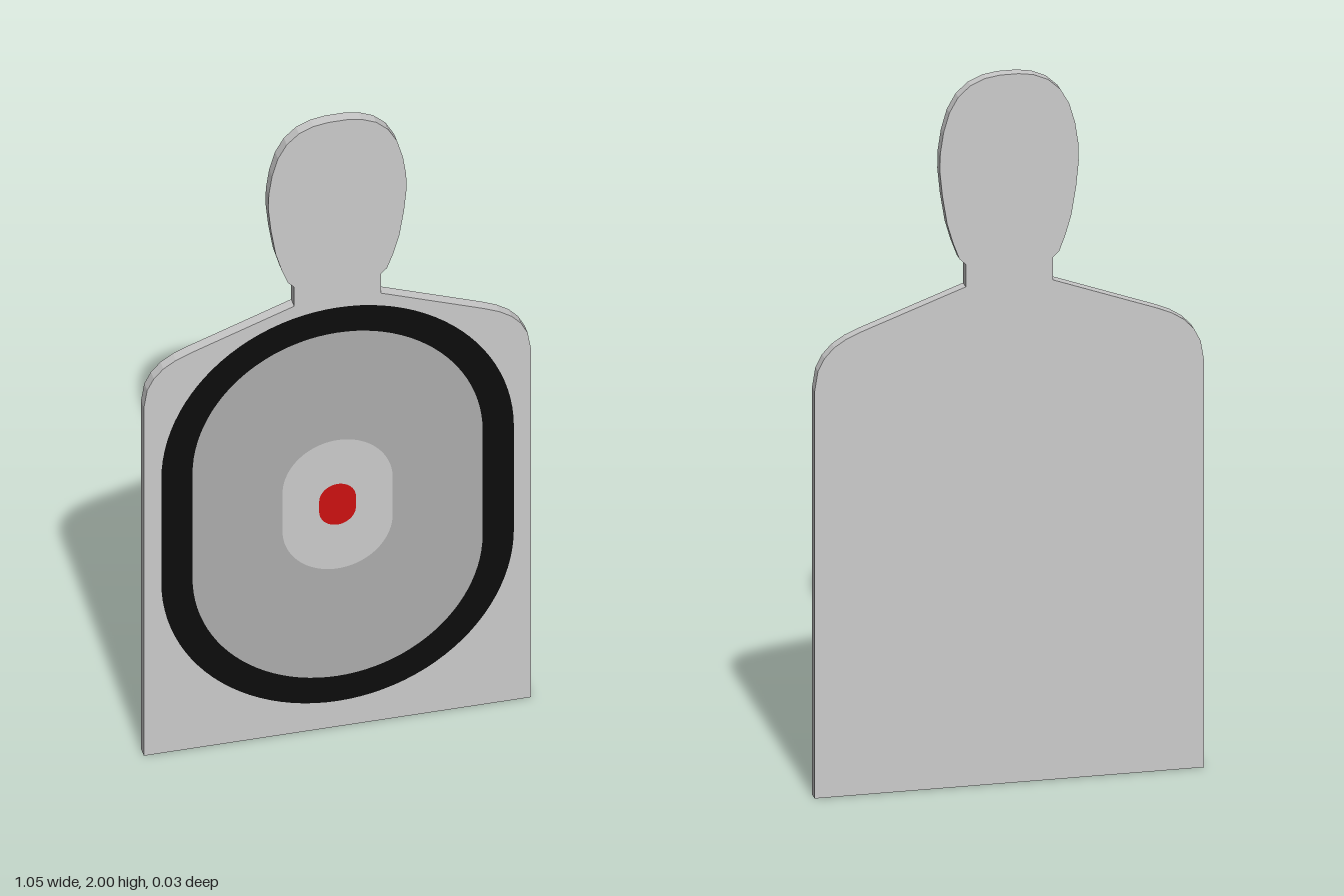
import * as THREE from 'three';

const material = (name, color) => new THREE.MeshStandardMaterial({ name, color });

const DEPTH = 0.032;
const CENTRE_Y = 0.735;

// Right half of the silhouette, from the base up to the crown
const HALF_OUTLINE = [
  [0.527, 0], [0.527, 1.15], [0.518, 1.205], [0.5, 1.24], [0.474, 1.268], [0.44, 1.29], [0.4, 1.307],
  [0.118, 1.41], [0.118, 1.473], [0.135, 1.49], [0.152, 1.535], [0.168, 1.59], [0.181, 1.67],
  [0.188, 1.74], [0.187, 1.79], [0.178, 1.85], [0.162, 1.905], [0.138, 1.947],
  [0.105, 1.977], [0.065, 1.994], [0.025, 2],
];

// Upright oval with straight sides and round ends
function oval(PathClass, radius, halfHeight) {
  const s = halfHeight - radius;
  const path = new PathClass();
  path.absarc(0, CENTRE_Y + s, radius, 0, Math.PI, false);
  path.absarc(0, CENTRE_Y - s, radius, Math.PI, Math.PI * 2, false);
  path.closePath();
  return path;
}

export function createModel() {
  const group = new THREE.Group();
  group.name = 'silhouetteTarget';

  const board = material('light grey board', 0xcbcbcb);
  const black = material('black', 0x0b0b0b);
  const grey = material('mid grey', 0xacacac);
  const red = material('red', 0xcc1010);

  // Flat board cut to a head and shoulders outline
  const right = HALF_OUTLINE.map(([x, y]) => new THREE.Vector2(x, y));
  const left = HALF_OUTLINE.map(([x, y]) => new THREE.Vector2(-x, y)).reverse();
  const boardGeometry = new THREE.ExtrudeGeometry(new THREE.Shape([...right, ...left]), {
    depth: DEPTH, bevelEnabled: false,
  });
  boardGeometry.translate(0, 0, -DEPTH / 2);
  const boardMesh = new THREE.Mesh(boardGeometry, board);
  boardMesh.name = 'board';
  group.add(boardMesh);

  // Painted zones: name, material, radius, half height; each is cut out by the next
  const zones = [
    ['outerRing', black, 0.48, 0.65],
    ['middleZone', grey, 0.395, 0.567],
    ['innerZone', board, 0.15, 0.212],
    ['bullseye', red, 0.05, 0.067],
  ];
  zones.forEach(([name, mat, radius, halfHeight], i) => {
    const shape = oval(THREE.Shape, radius, halfHeight);
    const next = zones[i + 1];
    if (next) shape.holes.push(oval(THREE.Path, next[2], next[3]));
    const mesh = new THREE.Mesh(new THREE.ShapeGeometry(shape, 24), mat);
    mesh.name = name;
    mesh.position.z = DEPTH / 2 + 0.001;
    group.add(mesh);
  });

  return group;
}
